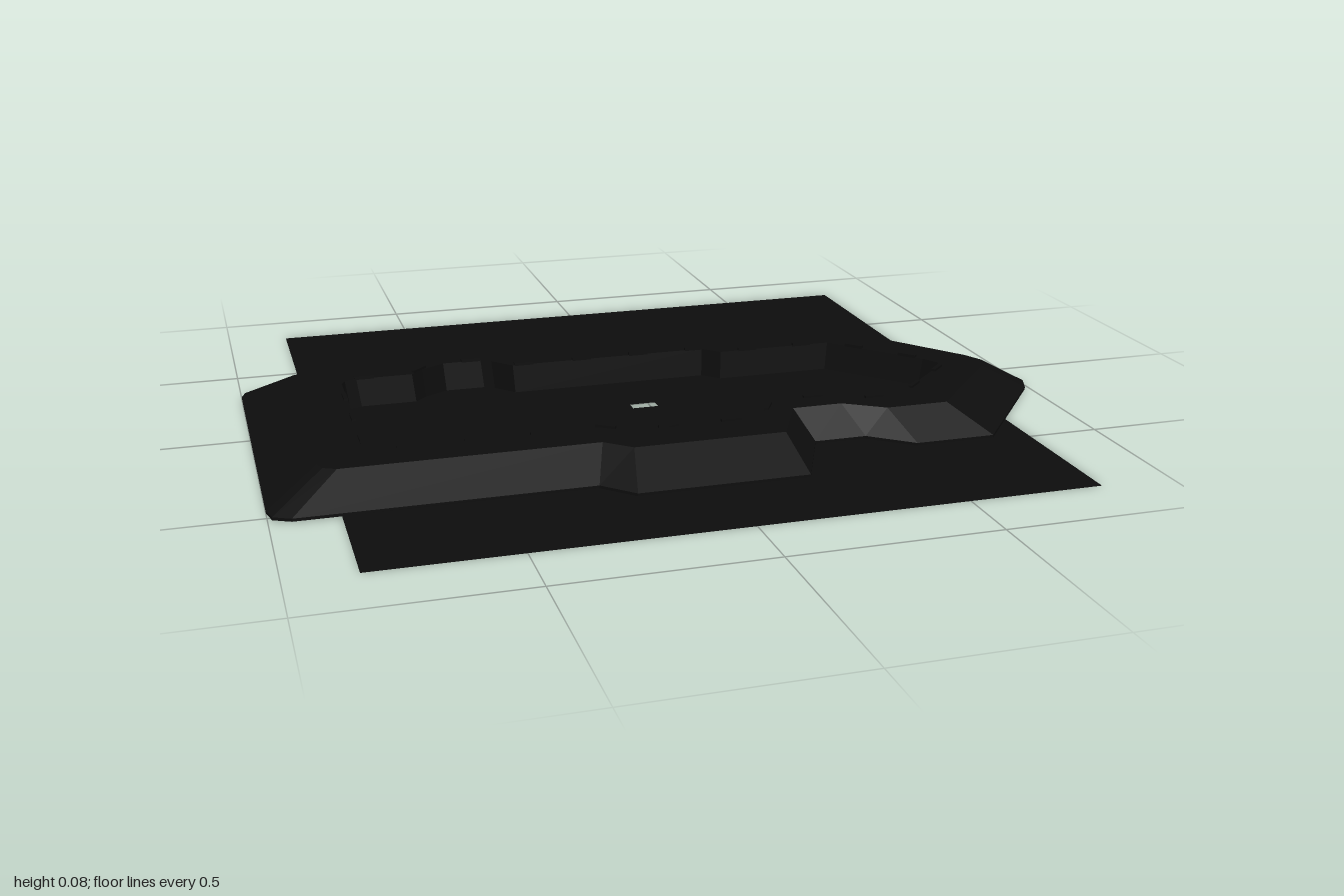
import * as THREE from 'three';

// Matching corners of the bank, clockwise from above: [outer x, outer z, inner x, inner z]
const CORNERS = [
  [-1, -0.31, -0.75, -0.14], [-0.99, -0.34, -0.74, -0.16], [-0.95, -0.355, -0.71, -0.17],
  [-0.76, -0.355, -0.57, -0.17], [-0.68, -0.43, -0.54, -0.2], [-0.62, -0.46, -0.48, -0.235],
  [-0.54, -0.46, -0.38, -0.235], [-0.5, -0.44, -0.355, -0.22], [-0.41, -0.355, -0.31, -0.17],
  [0.27, -0.355, 0.2, -0.17], [0.32, -0.29, 0.24, -0.13], [0.73, -0.29, 0.54, -0.13],
  [0.975, 0.07, 0.725, 0.07], [1, 0.13, 0.75, 0.11], [0.98, 0.18, 0.73, 0.145],
  [0.73, 0.49, 0.55, 0.31], [0.53, 0.49, 0.44, 0.31], [0.43, 0.41, 0.35, 0.27],
  [0.3, 0.41, 0.23, 0.27], [0.21, 0.61, 0.17, 0.37], [-0.2, 0.61, -0.15, 0.37],
  [-0.27, 0.54, -0.2, 0.335], [-0.95, 0.54, -0.72, 0.335], [-0.99, 0.52, -0.74, 0.325],
  [-1, 0.48, -0.75, 0.31],
];

// One ring of points, t = 0 at the outer outline and 1 at the inner one
const ring = (t, y) => CORNERS.map(([ox, oz, ix, iz]) =>
  new THREE.Vector3(ox + (ix - ox) * t, y, oz + (iz - oz) * t));

// Flat-faced closed loft through a loop of rings
function loft(rings) {
  const pos = [];
  rings.forEach((low, r) => {
    const high = rings[(r + 1) % rings.length];
    low.forEach((a, i) => {
      const j = (i + 1) % low.length;
      for (const p of [a, high[i], low[j], low[j], high[i], high[j]]) pos.push(p.x, p.y, p.z);
    });
  });
  const geo = new THREE.BufferGeometry();
  geo.setAttribute('position', new THREE.Float32BufferAttribute(pos, 3));
  geo.computeVertexNormals();
  return geo;
}

export function createModel() {
  const model = new THREE.Group();
  const black = new THREE.MeshStandardMaterial({ color: 0x0d0d0d, side: THREE.DoubleSide });
  black.name = 'black';

  const add = (name, geometry, parent = model) => {
    const mesh = new THREE.Mesh(geometry, black);
    mesh.name = name;
    parent.add(mesh);
    return mesh;
  };

  // Thin ground sheet with a small rectangular opening
  const rect = (Type, x0, x1, y0, y1) => new Type([[x0, y0], [x1, y0], [x1, y1], [x0, y1]]
    .map(([x, y]) => new THREE.Vector2(x, y)));
  const sheet = rect(THREE.Shape, -0.843, 0.825, -0.835, 0.838);
  sheet.holes.push(rect(THREE.Path, -0.047, 0.019, -0.03, 0));
  add('groundSheet', new THREE.ShapeGeometry(sheet).rotateX(-Math.PI / 2));

  // Bank: low lip, outer slope, level top and steep inner wall
  add('bank', loft([ring(0, 0.003), ring(0, 0.01), ring(0.48, 0.075), ring(0.96, 0.075), ring(1, 0.003)]));

  // Low blocks spaced evenly along the inner edge
  const blocks = new THREE.Group();
  blocks.name = 'wallBlocks';
  model.add(blocks);
  const blockGeo = new THREE.BoxGeometry(0.05, 0.008, 0.01);
  const spacing = 0.155;
  let next = 0.08;
  const edge = ring(0.94, 0.077);
  edge.forEach((a, i) => {
    const b = edge[(i + 1) % edge.length];
    const length = a.distanceTo(b);
    for (; next < length; next += spacing) {
      const block = add('wallBlock', blockGeo, blocks);
      block.position.lerpVectors(a, b, next / length);
      block.rotation.y = -Math.atan2(b.z - a.z, b.x - a.x);
    }
    next -= length;
  });

  return model;
}
